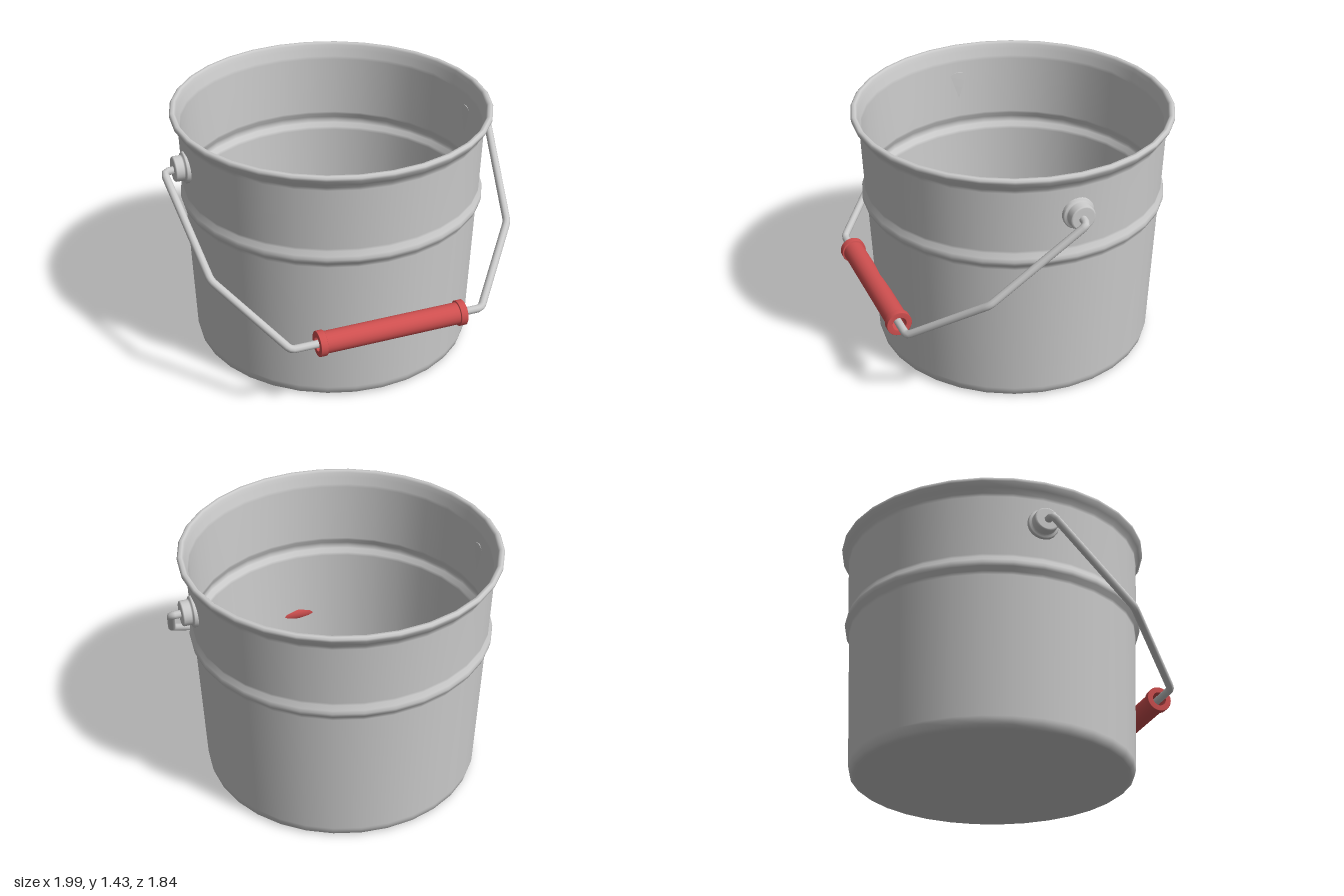
import * as THREE from 'three';

const grey = new THREE.MeshStandardMaterial({ color: 0xcccccc });
const red = new THREE.MeshStandardMaterial({ color: 0xd05050 });
const AXIS_Z = -0.015; // bucket axis
const PIVOT_Y = 1.18;

const points = (list) => list.map(([x, y]) => new THREE.Vector2(x, y));

function addMesh(parent, name, geometry, material) {
  const mesh = new THREE.Mesh(geometry, material);
  mesh.name = name;
  parent.add(mesh);
  return mesh;
}

// Straight runs joined by small rounded bends
function bentPath(corners, bend) {
  const path = new THREE.CurvePath();
  let from = corners[0];
  for (let i = 1; i < corners.length - 1; i++) {
    const c = corners[i];
    const toward = (p) => c.clone().add(p.clone().sub(c).setLength(bend));
    const a = toward(corners[i - 1]), b = toward(corners[i + 1]);
    path.add(new THREE.LineCurve3(from, a));
    path.add(new THREE.QuadraticBezierCurve3(a, c, b));
    from = b;
  }
  path.add(new THREE.LineCurve3(from, corners[corners.length - 1]));
  return path;
}

export function createModel() {
  const model = new THREE.Group();
  model.name = 'bucket';

  // Thin-walled pail: underside, outer wall with rib, flared rim, inner wall, floor
  const profile = points([
    [0, 0], [0.76, 0], [0.78, 0.002], [0.798, 0.015], [0.806, 0.045], [0.807, 0.06],
    [0.838, 0.86], [0.841, 0.88], [0.862, 0.9], [0.866, 0.92], [0.862, 0.94], [0.848, 0.965], [0.848, 0.98],
    [0.86, 1.33], [0.863, 1.35], [0.884, 1.375], [0.903, 1.405], [0.904, 1.42], [0.894, 1.43],
    [0.878, 1.43], [0.868, 1.418], [0.864, 1.39], [0.85, 1.35], [0.848, 1.33],
    [0.836, 0.98], [0.837, 0.965], [0.85, 0.94], [0.854, 0.92], [0.85, 0.9], [0.829, 0.88], [0.826, 0.86],
    [0.795, 0.06], [0.79, 0.035], [0.78, 0.02], [0.76, 0.018], [0, 0.018],
  ]);
  const pail = addMesh(model, 'pail', new THREE.LatheGeometry(profile, 32), grey);
  pail.position.z = AXIS_Z;

  // Flanged ears that hold the handle, one on each side
  const earProfile = points([
    [0, 0], [0.088, 0], [0.088, 0.002], [0.089, 0.024], [0.083, 0.03], [0.073, 0.032], [0.071, 0.038],
    [0.071, 0.078], [0.067, 0.084], [0.06, 0.085], [0, 0.085],
  ]);
  for (const side of [-1, 1]) {
    const ear = addMesh(model, side > 0 ? 'leftEar' : 'rightEar', new THREE.LatheGeometry(earProfile, 24), grey);
    ear.rotation.z = -side * Math.PI / 2;
    ear.position.set(side * 0.84, PIVOT_Y, AXIS_Z);
  }

  // Wire handle, hanging forward; built in a flat plane as (x, distance from pivot)
  const gripY = 0.455, gripZ = 0.848;
  const reach = new THREE.Vector2(gripZ - AXIS_Z, PIVOT_Y - gripY).length();
  const half = [[0.88, 0], [0.978, 0.01], [0.882, 0.665], [0.56, reach]];
  const onPlane = ([x, d]) => new THREE.Vector3(
    x,
    PIVOT_Y + (gripY - PIVOT_Y) * d / reach,
    AXIS_Z + (gripZ - AXIS_Z) * d / reach,
  );
  const corners = [
    ...half.map(([x, d]) => onPlane([-x, d])),
    ...half.slice().reverse().map(onPlane),
  ];
  addMesh(model, 'wireHandle', new THREE.TubeGeometry(bentPath(corners, 0.025), 200, 0.022, 10), grey);

  // Hollow grip with a collar at each end
  const h = 0.43, c = h - 0.04, e = 0.002;
  const gripProfile = points([
    [0.04, -h], [0.04 + e, -h], [0.072 - e, -h], [0.072, -h + e], [0.072, -c - e], [0.072 - e, -c],
    [0.062 + e, -c], [0.062, -c + e], [0.062, c - e], [0.062 + e, c], [0.072 - e, c], [0.072, c + e],
    [0.072, h - e], [0.072 - e, h], [0.04 + e, h], [0.04, h - e], [0.04, -h + e], [0.04, -h],
  ]);
  const grip = addMesh(model, 'grip', new THREE.LatheGeometry(gripProfile, 24), red);
  grip.rotation.z = -Math.PI / 2;
  grip.position.set(0.018, gripY, gripZ);

  return model;
}
